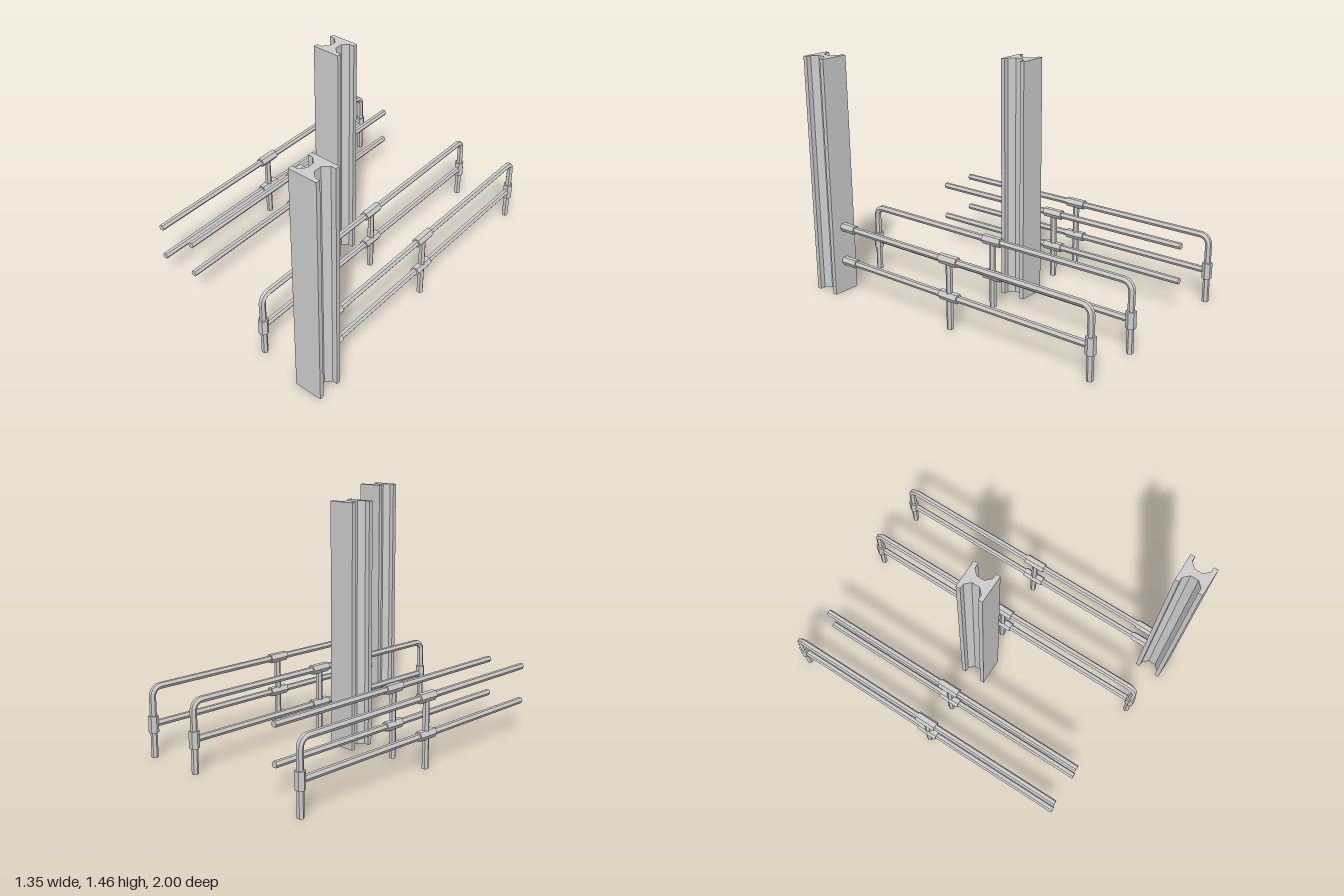
import * as THREE from 'three';

const PIPE = 0.02, SLEEVE = 0.03;       // hexagon radii
const TOP = 0.418, LOW = 0.2;           // rail heights
const MID = -0.02, BACK = -0.974;       // post positions along z
const BEND = 0.052;

const material = new THREE.MeshStandardMaterial({ color: 0xcccccc, flatShading: true });

// Capped hexagonal bar swept along [y, z] points in a plane of constant x
function hexBar(name, points, radius) {
  const n = points.length, pos = [], index = [];
  points.forEach(([y, z], i) => {
    const a = points[Math.max(i - 1, 0)], b = points[Math.min(i + 1, n - 1)];
    const len = Math.hypot(b[0] - a[0], b[1] - a[1]);
    const ty = (b[0] - a[0]) / len, tz = (b[1] - a[1]) / len;
    for (let j = 0; j < 6; j++) {
      const c = radius * Math.cos(j * Math.PI / 3), s = radius * Math.sin(j * Math.PI / 3);
      pos.push(c, y + s * tz, z - s * ty);
    }
  });
  for (let i = 0; i < n - 1; i++) {
    for (let j = 0; j < 6; j++) {
      const a = i * 6 + j, b = i * 6 + (j + 1) % 6;
      index.push(a, b, a + 6, b, b + 6, a + 6);
    }
  }
  const e = (n - 1) * 6;
  for (let j = 1; j < 5; j++) index.push(0, j + 1, j, e, e + j, e + j + 1);
  let geo = new THREE.BufferGeometry();
  geo.setAttribute('position', new THREE.Float32BufferAttribute(pos, 3));
  geo.setIndex(index);
  geo = geo.toNonIndexed();
  geo.computeVertexNormals();
  const mesh = new THREE.Mesh(geo, material);
  mesh.name = name;
  return mesh;
}

// Rounded corner down to an end post, from the ground up; dir points inward along z
function bentEnd(z, dir) {
  const pts = [[0, z]];
  for (let i = 0; i <= 5; i++) {
    const a = i / 5 * Math.PI / 2;
    pts.push([TOP - BEND + BEND * Math.sin(a), z + dir * BEND * (1 - Math.cos(a))]);
  }
  return pts;
}

// Two-rail barrier with a middle post; each end may be bent down into a post
function railing(name, x, back, front, backBent, frontBent) {
  const g = new THREE.Group();
  g.name = name;
  g.position.x = x;
  const path = [
    ...(backBent ? bentEnd(back, 1) : [[TOP, back]]),
    ...(frontBent ? bentEnd(front, -1).reverse() : [[TOP, front]]),
  ];
  g.add(hexBar('topRail', path, PIPE));
  g.add(hexBar('lowerRail', [[LOW, back], [LOW, front]], PIPE));
  g.add(hexBar('middlePost', [[0, MID], [TOP, MID]], PIPE));
  for (const y of [TOP, LOW]) {
    g.add(hexBar('middleSleeve', [[y, MID - 0.065], [y, MID + 0.065]], SLEEVE));
  }
  if (backBent) g.add(hexBar('backSleeve', [[0.15, back], [0.25, back]], SLEEVE));
  if (frontBent) g.add(hexBar('frontSleeve', [[0.15, front], [0.25, front]], SLEEVE));
  return g;
}

// Upright I-beam with chamfered web corners
function column(name, x, z) {
  const quarter = [[0.086, 0.083], [0.086, 0.056], [0.056, 0.056], [0.023, 0.024]];
  const flip = (pts, sx, sy) => pts.map(([a, b]) => [a * sx, b * sy]);
  const outline = [
    ...flip(quarter, 1, 1),
    ...flip([...quarter].reverse(), 1, -1),
    ...flip(quarter, -1, -1),
    ...flip([...quarter].reverse(), -1, 1),
  ];
  const shape = new THREE.Shape(outline.map(([a, b]) => new THREE.Vector2(a, b)));
  const geo = new THREE.ExtrudeGeometry(shape, { depth: 1.455, bevelEnabled: false });
  geo.rotateX(-Math.PI / 2);
  const mesh = new THREE.Mesh(geo, material);
  mesh.name = name;
  mesh.position.set(x, 0, z);
  return mesh;
}

export function createModel() {
  const model = new THREE.Group();
  model.name = 'railingsAndColumns';

  model.add(column('middleColumn', -0.068, -0.018));
  model.add(column('frontColumn', 0.586, 0.917));

  model.add(railing('outerRightRailing', -0.646, BACK, 0.885, true, false));
  model.add(railing('innerRightRailing', -0.4, -0.925, 0.885, false, false));
  model.add(railing('innerLeftRailing', 0.204, BACK, 0.932, true, true));

  // Last railing is fixed to the front column by sockets
  const fixed = railing('outerLeftRailing', 0.585, BACK, 0.834, true, false);
  for (const y of [TOP, LOW]) {
    fixed.add(hexBar('columnSocket', [[y, 0.728], [y, 0.836]], 0.028));
  }
  model.add(fixed);
  return model;
}
